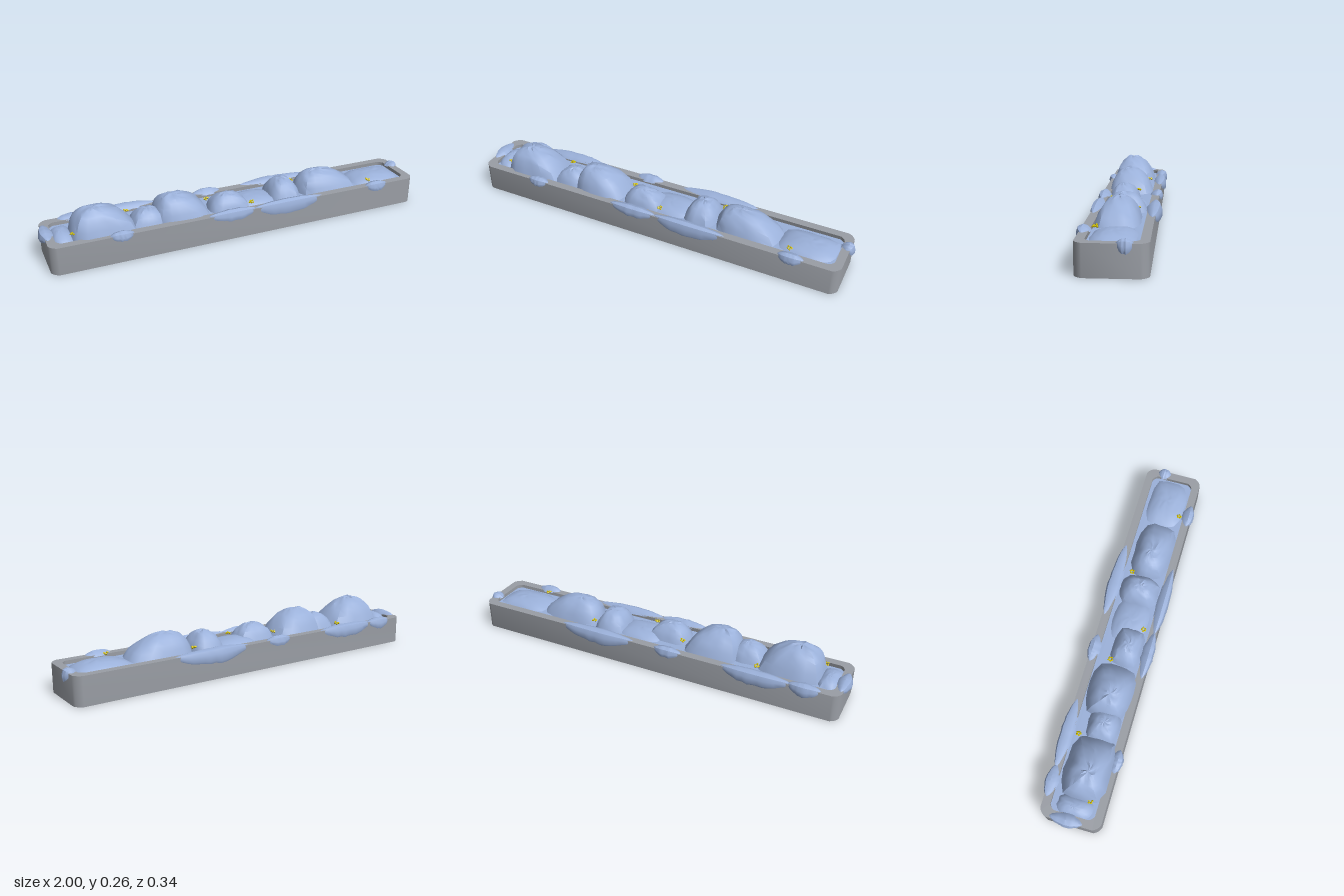
import * as THREE from 'three';
import { mergeVertices, mergeGeometries, toCreasedNormals } from 'three/addons/utils/BufferGeometryUtils.js';

const hash = (a, b, c) => {
  const s = Math.sin(a * 12.9898 + b * 78.233 + c * 37.719) * 43758.5453;
  return (s - Math.floor(s)) * 2 - 1;
};

// Surface from a grid of points given by fn(i, j)
function grid(nu, nv, fn) {
  const pos = [], idx = [];
  for (let i = 0; i <= nu; i++) for (let j = 0; j <= nv; j++) pos.push(...fn(i, j));
  for (let i = 0; i < nu; i++) for (let j = 0; j < nv; j++) {
    const a = i * (nv + 1) + j, b = a + nv + 1;
    idx.push(a, b, a + 1, b, b + 1, a + 1);
  }
  const g = new THREE.BufferGeometry();
  g.setAttribute('position', new THREE.Float32BufferAttribute(pos, 3));
  g.setIndex(idx);
  return toCreasedNormals(mergeVertices(g, 1e-5), 0.7);
}

// Lumpy mound over x0..x1, z0..z1, with its peak at (px, pz)
function mound(x0, x1, z0, z1, top, px, pz, seed) {
  const base = 0.11, seg = 18, rings = 7;
  const cx = (x0 + x1) / 2, cz = (z0 + z1) / 2, rx = (x1 - x0) / 2, rz = (z1 - z0) / 2;
  return grid(seg, rings, (i, j) => {
    const k = i % seg, a = k / seg * Math.PI * 2, r = j / rings;
    const c = Math.cos(a), s = Math.sin(a);
    const plan = Math.pow(c ** 4 + s ** 4, -0.22) * r * (1 + 0.035 * hash(k, 1, seed));
    const t = 1 - r * r;
    const bump = j && j < rings ? hash(k, j, seed) * 0.035 * (top - base) : 0;
    return [
      cx + plan * c * rx + (px - cx) * t,
      base + (top - base) * Math.pow(1 - Math.pow(r, 2.3), 0.75) + bump,
      cz + plan * s * rz + (pz - cz) * t,
    ];
  });
}

// Overhang draped over a wall whose outer face lies at z = edge
function drape(x0, x1, edge, low, seed, out = 0.02) {
  const nu = 14;
  const prof = [[-0.048, 0.135], [-0.033, 0.151], [-0.01, 0.159], [out * 0.6, 0.151], [out, 0.13],
    [out, low + 0.012], [out * 0.75, low], [0.004, low + 0.012], [-0.002, 0.13]];
  return grid(nu, prof.length - 1, (i, j) => {
    const u = i / nu, s = Math.pow(Math.max(0, Math.sin(Math.PI * u)), 0.65);
    const w = s * (1 + 0.07 * hash(i, 3, seed));
    const [d, y] = prof[j];
    return [x1 + (x0 - x1) * u, 0.139 + (y - 0.139) * w, edge - 0.012 + (d + 0.012) * w];
  });
}

// Rectangle with eased corners
function outline(hx, hz, r, Type = THREE.Shape) {
  const p = new Type();
  p.moveTo(-hx + r, -hz);
  p.lineTo(hx - r, -hz);
  p.quadraticCurveTo(hx - r * 0.3, hz * -1 + r * 0.3, hx, -hz + r);
  p.lineTo(hx, hz - r);
  p.quadraticCurveTo(hx - r * 0.3, hz - r * 0.3, hx - r, hz);
  p.lineTo(-hx + r, hz);
  p.quadraticCurveTo(-hx + r * 0.3, hz - r * 0.3, -hx, hz - r);
  p.lineTo(-hx, -hz + r);
  p.quadraticCurveTo(-hx + r * 0.3, -hz + r * 0.3, -hx + r, -hz);
  return p;
}
function slab(shape, y0, y1) {
  const g = new THREE.ExtrudeGeometry(shape, { depth: y1 - y0, bevelEnabled: false, curveSegments: 4 });
  g.rotateX(-Math.PI / 2).translate(0, y0, 0);
  return toCreasedNormals(g, 0.6);
}

export function createModel() {
  const root = new THREE.Group();
  const stone = new THREE.MeshStandardMaterial({ color: 0x9a9ea5 });
  stone.name = 'stone grey';
  const blue = new THREE.MeshStandardMaterial({ color: 0x9bb1da, side: THREE.DoubleSide });
  blue.name = 'foliage blue';
  const yellow = new THREE.MeshStandardMaterial({ color: 0xd6c400 });
  yellow.name = 'blossom yellow';
  const add = (name, geo, mat, parent = root) => {
    const m = new THREE.Mesh(geo, mat);
    m.name = name;
    parent.add(m);
    return m;
  };

  // Trough: walls and floor
  const wall = outline(0.98, 0.15, 0.035);
  wall.holes.push(outline(0.94, 0.11, 0.025, THREE.Path));
  add('troughWalls', slab(wall, 0, 0.14), stone);
  add('troughFloor', slab(outline(0.945, 0.115, 0.025), 0, 0.1), stone);
  add('plantBed', slab(outline(0.942, 0.112, 0.025), 0.1, 0.122), blue);

  // Mounds: x0, x1, z0, z1, top, peak x, peak z
  [
    [-0.95, -0.84, -0.09, 0.1, 0.155, -0.9, 0],
    [-0.87, -0.54, -0.105, 0.135, 0.258, -0.74, 0.03],
    [-0.58, -0.4, -0.06, 0.11, 0.2, -0.48, 0.03],
    [-0.45, -0.16, -0.11, 0.13, 0.245, -0.35, 0.02],
    [-0.17, 0.05, -0.055, 0.105, 0.2, -0.07, 0.03],
    [-0.05, 0.22, -0.1, 0.1, 0.152, 0.08, 0],
    [0.16, 0.34, -0.105, 0.105, 0.213, 0.25, 0],
    [0.33, 0.67, -0.095, 0.115, 0.23, 0.45, 0.01],
    [0.64, 0.95, -0.105, 0.11, 0.155, 0.8, 0],
  ].forEach((m, i) => add('mound' + (i + 1), mound(...m, i + 1), blue));

  // Overhangs on the four sides: local x0, x1, lowest y, reach
  const sides = [
    ['front', 0, 0.15, [[-0.7, -0.58, 0.115, 0.017], [-0.21, 0.05, 0.105, 0.015],
      [0.03, 0.42, 0.085, 0.016], [0.68, 0.81, 0.11, 0.016]]],
    ['back', Math.PI, 0.15, [[-0.49, -0.07, 0.085, 0.023], [0.04, 0.19, 0.11, 0.017],
      [0.39, 0.75, 0.09, 0.022], [0.73, 0.89, 0.1, 0.02]]],
    ['left', Math.PI / 2, 0.98, [[0.018, 0.088, 0.1, 0.018]]],
    ['right', -Math.PI / 2, 0.98, [[-0.1, 0.065, 0.108, 0.02]]],
  ];
  sides.forEach(([name, turn, edge, list], k) => {
    const g = new THREE.Group();
    g.name = name + 'Overhangs';
    g.rotation.y = turn;
    list.forEach(([x0, x1, low, out], i) =>
      add(name + 'Overhang' + (i + 1), drape(x0, x1, edge, low, k * 7 + i, out), blue, g));
    root.add(g);
  });

  // Tiny blossoms in clusters
  const petals = [];
  for (let i = 0; i < 5; i++) {
    const a = i / 5 * Math.PI * 2;
    petals.push(new THREE.OctahedronGeometry(0.0065)
      .translate(Math.cos(a) * 0.009, 0.003 * (i % 3), Math.sin(a) * 0.009));
  }
  const blossom = mergeGeometries(petals);
  [[-0.855, 0.155, 0.07], [-0.56, 0.145, -0.08], [-0.155, 0.15, -0.038],
    [0.045, 0.146, 0.08], [0.34, 0.15, -0.065], [0.725, 0.148, 0.09]].forEach(([x, y, z], i) => {
    const m = add('blossom' + (i + 1), blossom, yellow);
    m.position.set(x, y, z);
    m.rotation.y = i;
  });
  return root;
}
